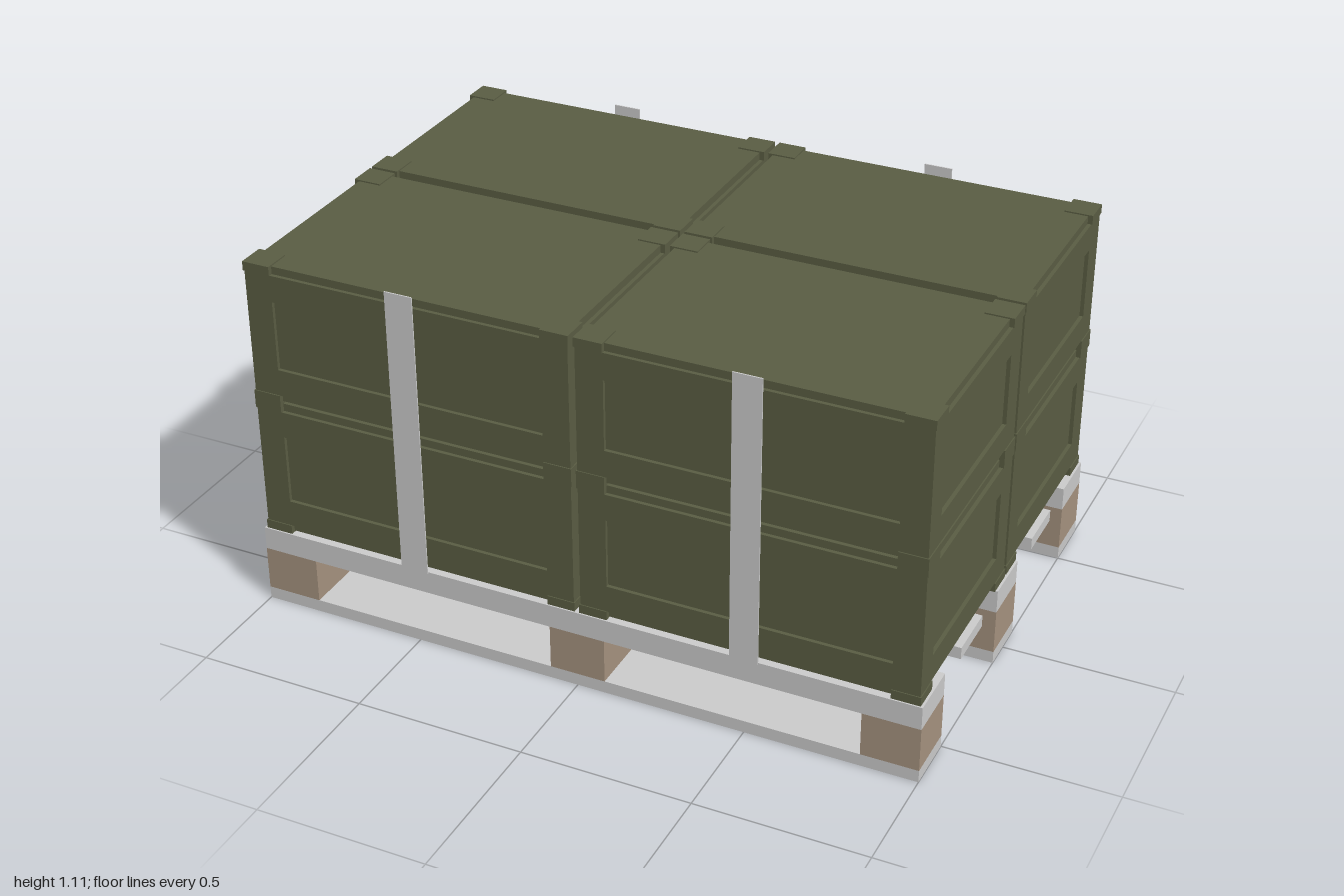
import * as THREE from 'three';

const olive = new THREE.MeshStandardMaterial({ color: 0x5a5d43 });
const brown = new THREE.MeshStandardMaterial({ color: 0xa69380 });
const grey = new THREE.MeshStandardMaterial({ color: 0xcccccc });

function block(parent, name, mat, w, h, d, x, y, z) {
  const m = new THREE.Mesh(new THREE.BoxGeometry(w, h, d), mat);
  m.name = name;
  m.position.set(x, y, z);
  parent.add(m);
  return m;
}

// Crate size, wall relief and corner sizes
const W = 0.98, H = 0.425, D = 0.652;
const RELIEF = 0.011, CORNER = 0.08, LIP = 0.027, GAP = 0.004;

// Side frame: notched between the corners at top and bottom, with a panel opening
function frameGeometry(w) {
  const a = w / 2, b = a - CORNER, t = H / 2 - GAP, n = H / 2 - LIP, p = 0.105;
  const s = new THREE.Shape([
    [-a, -t], [-b, -t], [-b, -n], [b, -n], [b, -t], [a, -t],
    [a, t], [b, t], [b, n], [-b, n], [-b, t], [-a, t],
  ].map(([x, y]) => new THREE.Vector2(x, y)));
  s.holes.push(new THREE.Path(
    [[-b, -p], [-b, p], [b, p], [b, -p]].map(([x, y]) => new THREE.Vector2(x, y))));
  return new THREE.ExtrudeGeometry(s, { depth: RELIEF, bevelEnabled: false });
}

function createCrate() {
  const crate = new THREE.Group();
  crate.name = 'crate';
  block(crate, 'crateBody', olive, W - 2 * RELIEF, H - 2 * GAP, D - 2 * RELIEF, 0, 0, 0);

  // Four framed sides around the body
  const longFrame = frameGeometry(W), shortFrame = frameGeometry(D);
  for (let i = 0; i < 4; i++) {
    const m = new THREE.Mesh(i % 2 ? shortFrame : longFrame, olive);
    m.name = 'sideFrame';
    m.rotation.y = i * Math.PI / 2;
    m.translateZ((i % 2 ? W : D) / 2 - RELIEF);
    crate.add(m);
  }

  // Slightly proud corner blocks
  const proud = 0.003;
  for (const sx of [-1, 1]) for (const sy of [-1, 1]) for (const sz of [-1, 1]) {
    block(crate, 'cornerBlock', olive, CORNER + proud, LIP, CORNER + proud,
      sx * (W / 2 + proud - (CORNER + proud) / 2),
      sy * (H - LIP) / 2,
      sz * (D / 2 + proud - (CORNER + proud) / 2));
  }
  return crate;
}

function createPallet() {
  const pallet = new THREE.Group();
  pallet.name = 'pallet';
  // Three runners, each a bottom board, three blocks and a top beam
  for (const z of [-0.585, 0, 0.585]) {
    block(pallet, 'bottomBoard', grey, 2, 0.037, 0.167, 0, 0.0185, z);
    block(pallet, 'topBeam', grey, 2, 0.07, 0.167, 0, 0.205, z);
    for (const x of [-0.917, 0, 0.917])
      block(pallet, 'spacerBlock', brown, 0.166, 0.133, 0.167, x, 0.1035, z);
  }
  // Thin deck boards between the runners
  for (const z of [-0.293, 0.293])
    block(pallet, 'deckBoard', grey, 2, 0.036, 0.167, 0, 0.222, z);
  return pallet;
}

export function createModel() {
  const model = new THREE.Group();
  model.name = 'loadedPallet';
  model.add(createPallet());

  // Eight crates in two layers
  const first = createCrate();
  for (const x of [-0.5, 0.5]) for (const z of [-0.335, 0.335]) for (const level of [0, 1]) {
    const crate = first.clone();
    crate.position.set(x, 0.24 + H * (level + 0.5), z);
    model.add(crate);
  }

  // Upright straps on the front and back
  for (const x of [-0.5, 0.5]) for (const z of [-0.676, 0.676])
    block(model, 'strap', grey, 0.083, 0.865, 0.004, x, 0.6725, z);

  // Square plate on one rear strap
  block(model, 'plate', grey, 0.335, 0.33, 0.003, 0.5, 0.665, -0.679);
  return model;
}
